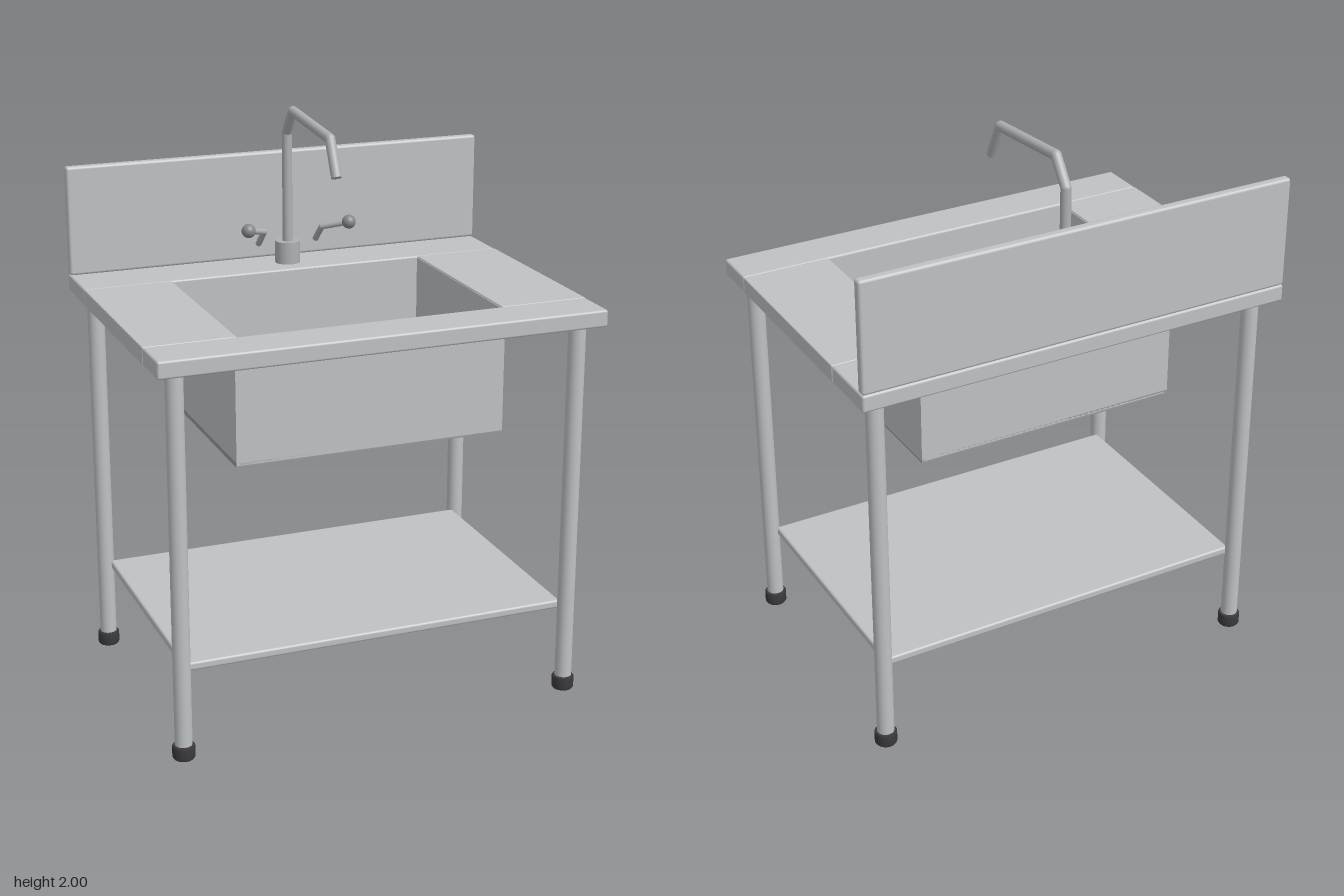
import * as THREE from 'three';
import { RoundedBoxGeometry } from 'three/addons/geometries/RoundedBoxGeometry.js';

const paint = (name, color) => {
  const m = new THREE.MeshStandardMaterial({ color });
  m.name = name;
  return m;
};

export function createModel() {
  const steel = paint('brushed steel', 0xbec2c5);
  const basinSteel = paint('dark basin steel', 0x969b9d);
  const chrome = paint('tap metal', 0xadb1b4);
  const knobMetal = paint('knob metal', 0x85888b);
  const rubber = paint('black rubber', 0x3a3a3c);

  const model = new THREE.Group();
  model.name = 'sinkTable';

  const add = (name, geometry, material, x = 0, y = 0, z = 0, parent = model) => {
    const mesh = new THREE.Mesh(geometry, material);
    mesh.name = name;
    mesh.position.set(x, y, z);
    parent.add(mesh);
    return mesh;
  };

  // Box given by its limits on each axis, with optional rounded edges
  const box = (name, material, [x0, x1], [y0, y1], [z0, z1], radius = 0) => {
    const size = [x1 - x0, y1 - y0, z1 - z0];
    const geometry = radius
      ? new RoundedBoxGeometry(...size, 2, radius)
      : new THREE.BoxGeometry(...size);
    return add(name, geometry, material, (x0 + x1) / 2, (y0 + y1) / 2, (z0 + z1) / 2);
  };

  // Bent pipe: straight cylinders joined by spheres
  const pipe = (name, points, radius, material) => {
    const group = new THREE.Group();
    group.name = name;
    const pts = points.map((p) => new THREE.Vector3(...p));
    for (let i = 0; i < pts.length - 1; i++) {
      const dir = pts[i + 1].clone().sub(pts[i]);
      const mid = pts[i].clone().add(pts[i + 1]).multiplyScalar(0.5);
      const part = add(name + 'Section', new THREE.CylinderGeometry(radius, radius, dir.length(), 20),
        material, mid.x, mid.y, mid.z, group);
      part.quaternion.setFromUnitVectors(new THREE.Vector3(0, 1, 0), dir.normalize());
      if (i > 0) {
        add(name + 'Elbow', new THREE.SphereGeometry(radius, 20, 14), material, ...points[i], group);
      }
    }
    model.add(group);
  };

  // Worktop: four slabs around the opening
  const topY = [1.36, 1.42];
  box('worktopFront', steel, [-0.785, 0.785], topY, [0.385, 0.55], 0.008);
  box('worktopBack', steel, [-0.785, 0.785], topY, [-0.55, -0.325], 0.008);
  box('worktopLeft', steel, [0.47, 0.785], topY, [-0.325, 0.385], 0.004);
  box('worktopRight', steel, [-0.785, -0.47], topY, [-0.325, 0.385], 0.004);

  // Splashback
  box('splashback', steel, [-0.785, 0.785], [1.42, 1.81], [-0.55, -0.515], 0.01);

  // Basin walls, floor and drain
  const wallY = [0.98, 1.415];
  box('basinWallLeft', steel, [0.467, 0.48], wallY, [-0.332, 0.392]);
  box('basinWallRight', steel, [-0.48, -0.467], wallY, [-0.332, 0.392]);
  box('basinWallFront', steel, [-0.467, 0.467], wallY, [0.38, 0.392]);
  box('basinWallBack', steel, [-0.467, 0.467], wallY, [-0.332, -0.32]);
  box('basinFloor', basinSteel, [-0.48, 0.48], [0.974, 0.99], [-0.332, 0.392]);
  add('drain', new THREE.CylinderGeometry(0.054, 0.054, 0.008, 32), basinSteel, 0, 0.993, 0.03);

  // Legs with rubber feet
  for (const x of [-0.71, 0.71]) {
    for (const z of [-0.47, 0.475]) {
      add('leg', new THREE.CylinderGeometry(0.03, 0.03, 1.32, 24), steel, x, 0.7, z);
      const profile = [[0, 0], [0.035, 0], [0.039, 0.006], [0.039, 0.044], [0.035, 0.05], [0, 0.05]];
      add('foot', new THREE.LatheGeometry(profile.map((p) => new THREE.Vector2(...p)), 24), rubber, x, 0, z);
    }
  }

  // Lower shelf
  box('shelf', steel, [-0.695, 0.695], [0.305, 0.335], [-0.46, 0.46], 0.008);

  // Tap: base and bent spout
  add('tapBase', new THREE.CylinderGeometry(0.045, 0.045, 0.08, 32), chrome, 0, 1.46, -0.425);
  pipe('spout', [
    [0, 1.48, -0.423], [0, 1.895, -0.423], [0, 1.982, -0.36], [0, 1.952, 0], [0, 1.83, 0.06],
  ], 0.018, chrome);

  // Cranked tap handles with ball knobs
  for (const s of [1, -1]) {
    pipe('tapHandle', [
      [s * 0.11, 1.496, -0.428], [s * 0.11, 1.555, -0.365], [s * 0.19, 1.58, -0.302],
    ], 0.011, chrome);
    add('handleKnob', new THREE.SphereGeometry(0.025, 24, 16), knobMetal, s * 0.19, 1.58, -0.302);
  }

  return model;
}
